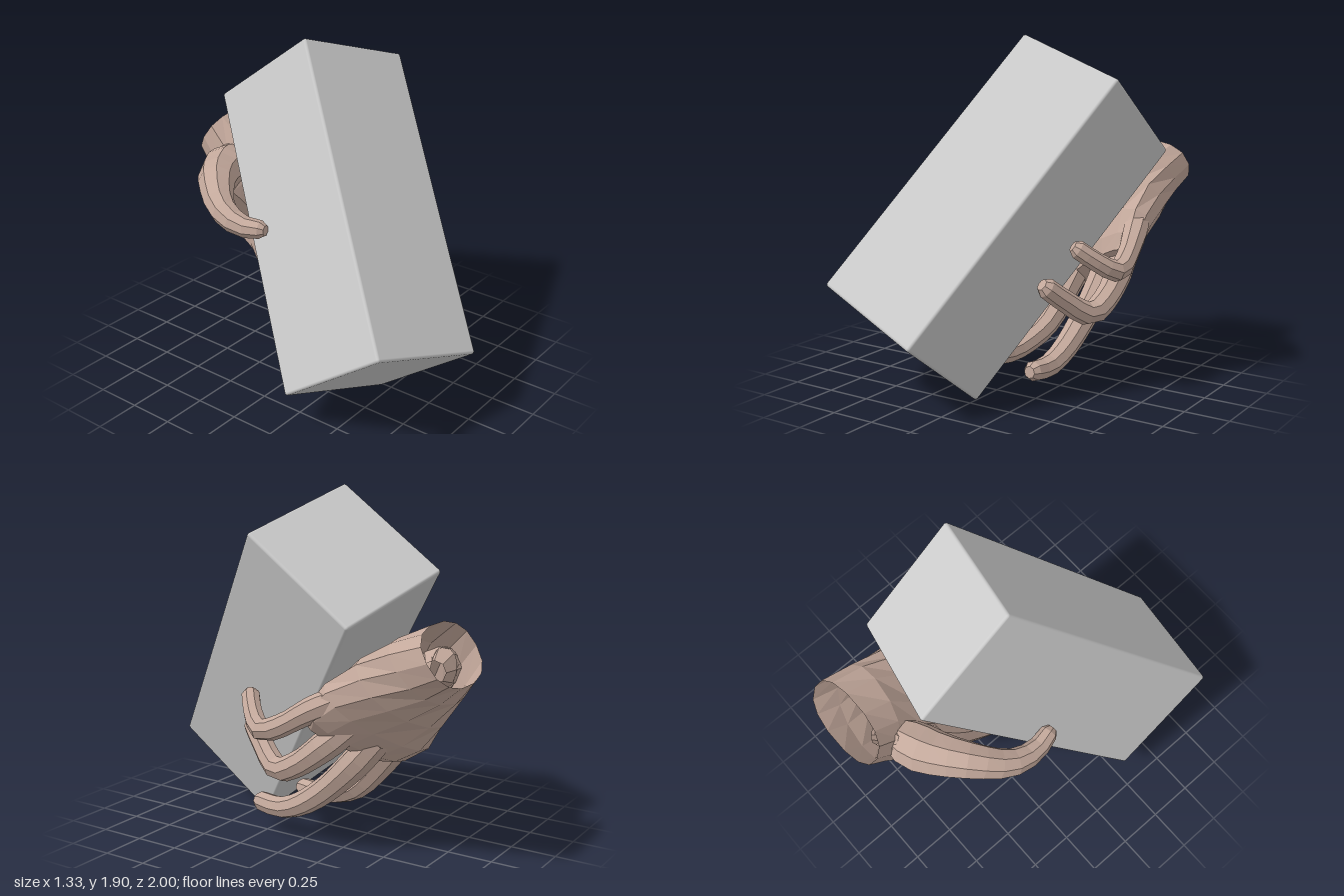
import * as THREE from 'three';
import { RoundedBoxGeometry } from 'three/addons/geometries/RoundedBoxGeometry.js';

const V = (a) => new THREE.Vector3(...a);
const skin = new THREE.MeshStandardMaterial({ color: 0xc4a99c, flatShading: true, side: THREE.DoubleSide });
const grey = new THREE.MeshStandardMaterial({ color: 0xcccccc });

// Skin a list of equal-sized rings; the far end is closed, the near end stays open.
function loft(name, rings) {
  const n = rings[0].length, pos = [], idx = [];
  rings.forEach((r) => r.forEach((p) => pos.push(p.x, p.y, p.z)));
  for (let i = 0; i < rings.length - 1; i++) {
    for (let j = 0; j < n; j++) {
      const a = i * n + j, b = i * n + (j + 1) % n;
      idx.push(a, b, b + n, a, b + n, a + n);
    }
  }
  const last = rings[rings.length - 1], end = pos.length / 3;
  const mid = last.reduce((s, p) => s.add(p), new THREE.Vector3()).divideScalar(n);
  pos.push(mid.x, mid.y, mid.z);
  for (let j = 0; j < n; j++) idx.push(end - n + j, end - n + (j + 1) % n, end);
  const g = new THREE.BufferGeometry();
  g.setAttribute('position', new THREE.Float32BufferAttribute(pos, 3));
  g.setIndex(idx);
  g.computeVertexNormals();
  const mesh = new THREE.Mesh(g, skin);
  mesh.name = name;
  return mesh;
}

// Elliptical ring, slightly squared by the power k.
function ring(c, w, t, n, k = 1) {
  return Array.from({ length: n }, (_, j) => {
    const a = (j / n) * Math.PI * 2, x = Math.cos(a), y = Math.sin(a);
    return c.clone()
      .addScaledVector(w, Math.sign(x) * Math.abs(x) ** k)
      .addScaledVector(t, Math.sign(y) * Math.abs(y) ** k);
  });
}

// Loft through rows of centre, half width and half thickness.
const slab = (name, rows) => loft(name, rows.map(([c, w, t]) => ring(V(c), V(w), V(t), 14, 0.85)));

// Tapered digit along a smooth path, rounded off at the tip.
function digit(name, points, radii) {
  const curve = new THREE.CatmullRomCurve3(points.map(V));
  const steps = 12, frames = curve.computeFrenetFrames(steps);
  const rings = [];
  for (let i = 0; i <= steps; i++) {
    const f = (i / steps) * (radii.length - 1), k = Math.min(Math.floor(f), radii.length - 2);
    const r = THREE.MathUtils.lerp(radii[k], radii[k + 1], f - k);
    rings.push(ring(curve.getPointAt(i / steps),
      frames.normals[i].clone().multiplyScalar(r), frames.binormals[i].clone().multiplyScalar(r), 8));
  }
  const r = radii[radii.length - 1];
  rings.push(ring(curve.getPointAt(1).addScaledVector(frames.tangents[steps], r * 0.6),
    frames.normals[steps].clone().multiplyScalar(r * 0.6),
    frames.binormals[steps].clone().multiplyScalar(r * 0.6), 8));
  return loft(name, rings);
}

export function createModel() {
  const model = new THREE.Group();
  model.name = 'handHoldingBlock';

  // Tilted square block with slightly softened edges
  const block = new THREE.Mesh(new RoundedBoxGeometry(0.715, 1.71, 0.72, 3, 0.015), grey);
  block.name = 'block';
  const long = V([0.62, 1.27, -0.93]).normalize();
  const side = long.clone().cross(V([0, 0.41, 0.58])).normalize();
  block.quaternion.setFromRotationMatrix(
    new THREE.Matrix4().makeBasis(side, long, side.clone().cross(long)));
  block.position.set(-0.02, 0.95, 0.18);
  model.add(block);

  const hand = new THREE.Group();
  hand.name = 'hand';
  model.add(hand);

  // Wrist and palm, from the open wrist to the knuckles
  hand.add(slab('palm', [
    [[0.31, 1.145, -0.905], [0.26, 0, 0], [0, 0.145, 0.09]],
    [[0.305, 1.045, -0.77], [0.255, 0.04, 0.03], [0, 0.155, 0.12]],
    [[0.295, 0.91, -0.62], [0.27, 0.11, 0.08], [-0.04, 0.14, 0.12]],
    [[0.305, 0.77, -0.49], [0.275, 0.16, 0.14], [-0.05, 0.1, 0.09]],
    [[0.315, 0.67, -0.38], [0.275, 0.16, 0.13], [-0.05, 0.075, 0.06]],
    [[0.32, 0.62, -0.325], [0.23, 0.13, 0.11], [-0.03, 0.045, 0.04]],
  ]));

  // Fleshy web between the thumb and the index finger
  hand.add(slab('thumbWeb', [
    [[0.2, 1.03, -0.8], [-0.06, 0.1, 0], [-0.03, -0.04, -0.05]],
    [[0.07, 0.95, -0.69], [-0.12, 0.14, -0.05], [-0.045, -0.055, -0.075]],
    [[-0.02, 0.87, -0.59], [-0.14, 0.17, -0.05], [-0.035, -0.045, -0.06]],
    [[-0.06, 0.84, -0.54], [-0.11, 0.14, -0.03], [-0.015, -0.02, -0.03]],
  ]));

  // Fingers and thumb, each starting inside the palm
  const digits = {
    littleFinger: [[[0.5, 0.91, -0.42], [0.56, 0.82, -0.24], [0.595, 0.73, -0.09], [0.605, 0.695, 0.02],
      [0.54, 0.755, 0.12], [0.465, 0.825, 0.19]], [0.06, 0.072, 0.06, 0.06, 0.052, 0.05]],
    ringFinger: [[[0.42, 0.76, -0.43], [0.46, 0.63, -0.28], [0.47, 0.5, -0.11], [0.45, 0.445, 0.03],
      [0.38, 0.54, 0.18], [0.33, 0.62, 0.275]], [0.07, 0.082, 0.07, 0.066, 0.06, 0.056]],
    middleFinger: [[[0.29, 0.66, -0.49], [0.295, 0.51, -0.36], [0.28, 0.31, -0.15], [0.27, 0.195, 0.02],
      [0.26, 0.15, 0.15], [0.255, 0.16, 0.285]], [0.08, 0.085, 0.075, 0.07, 0.062, 0.055]],
    indexFinger: [[[0.12, 0.72, -0.56], [0.08, 0.55, -0.45], [0.04, 0.28, -0.21], [0.01, 0.2, -0.04],
      [-0.015, 0.17, 0.08], [-0.03, 0.175, 0.195]], [0.08, 0.09, 0.077, 0.07, 0.062, 0.054]],
    thumb: [[[0.22, 1.02, -0.76], [-0.02, 1.02, -0.68], [-0.24, 1.05, -0.54], [-0.385, 0.985, -0.37],
      [-0.41, 0.94, -0.22], [-0.385, 0.94, -0.1]], [0.06, 0.14, 0.115, 0.09, 0.07, 0.05]],
  };
  for (const [name, [points, radii]] of Object.entries(digits)) hand.add(digit(name, points, radii));

  return model;
}
